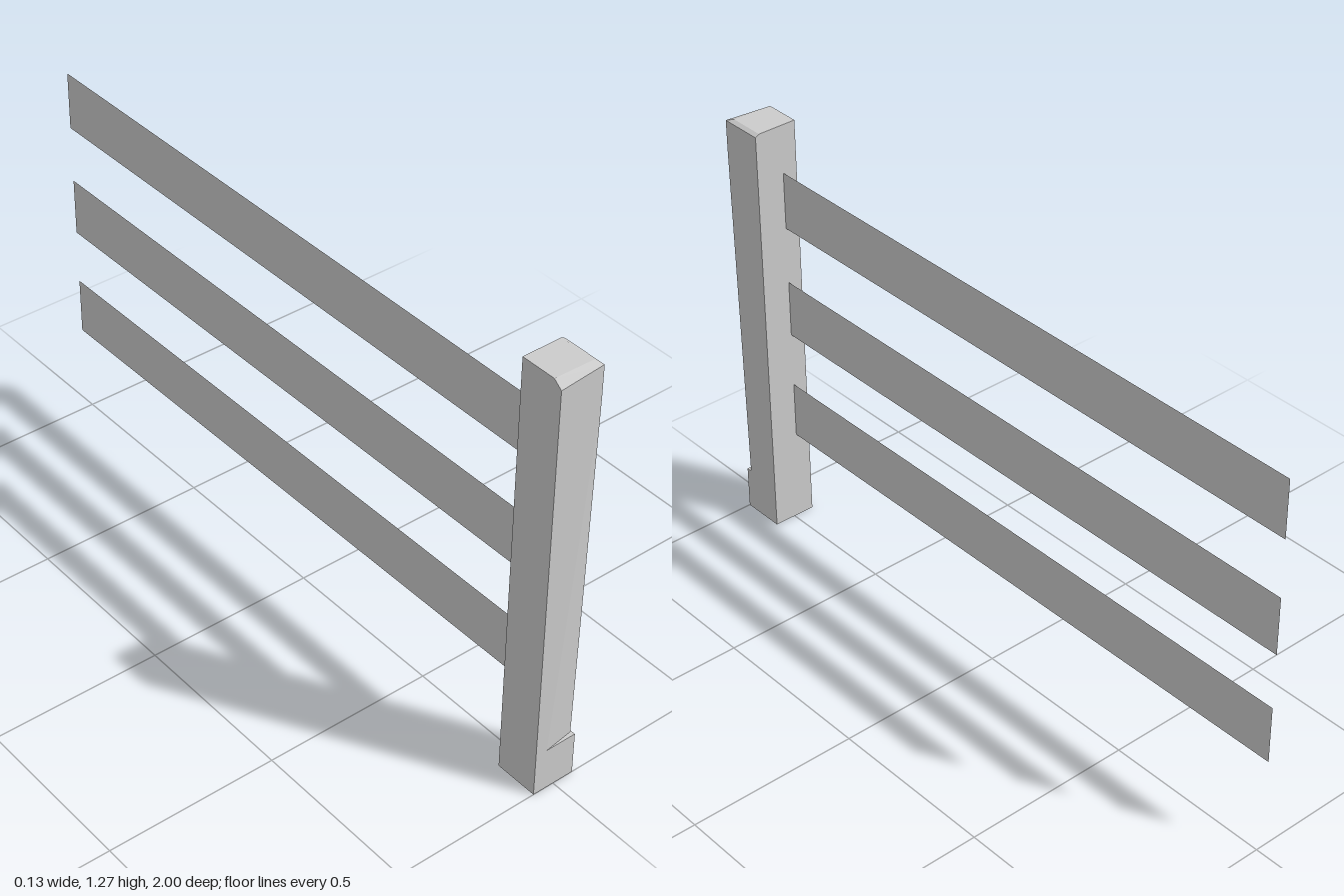
import * as THREE from 'three';
import { ConvexGeometry } from 'three/addons/geometries/ConvexGeometry.js';

const W = 0.065;              // half width of the post
const BACK = 0.87, FRONT = 1; // z extent of the post
const NOTCH = 0.13;           // height of the ledge under the worn corner

export function createModel() {
  const group = new THREE.Group();
  group.name = 'fenceSection';
  const wood = new THREE.MeshStandardMaterial({ color: 0xcccccc, flatShading: true });
  const board = new THREE.MeshStandardMaterial({ color: 0xcccccc, flatShading: true, side: THREE.DoubleSide });

  const add = (name, geometry, material, x, y, z) => {
    const mesh = new THREE.Mesh(geometry, material);
    mesh.name = name;
    mesh.position.set(x, y, z);
    group.add(mesh);
    return mesh;
  };

  const post = new THREE.Group();
  post.name = 'post';
  group.add(post);

  // square foot of the post
  post.add(add('postFoot', new THREE.BoxGeometry(2 * W, NOTCH, FRONT - BACK), wood, 0, NOTCH / 2, (BACK + FRONT) / 2));

  // shaft: front left-hand corner worn away towards the ledge, chipped top edges
  const shaft = [
    [-W, NOTCH, BACK], [W, NOTCH, BACK], [-W, NOTCH, FRONT],
    [-0.03, NOTCH, FRONT], [0.0615, NOTCH, 0.987], [W, NOTCH, 0.983],
    [W, 1.18, FRONT],
    [-W, 1.255, FRONT], [W, 1.268, FRONT], [W, 1.268, BACK],
    [-W, 1.275, 0.975], [0.053, 1.275, 0.978], [0.053, 1.275, BACK], [-W, 1.275, BACK],
  ].map((p) => new THREE.Vector3(...p));
  post.add(add('postShaft', new ConvexGeometry(shaft), wood, 0, 0, 0));

  // three thin rails running back from the post
  const length = BACK + 1;
  [0.365, 0.702, 1.045].forEach((y, i) => {
    const rail = add(`rail${i + 1}`, new THREE.PlaneGeometry(length, 0.172), board, -0.02, y, BACK - length / 2);
    rail.rotation.y = Math.PI / 2;
  });

  return group;
}
